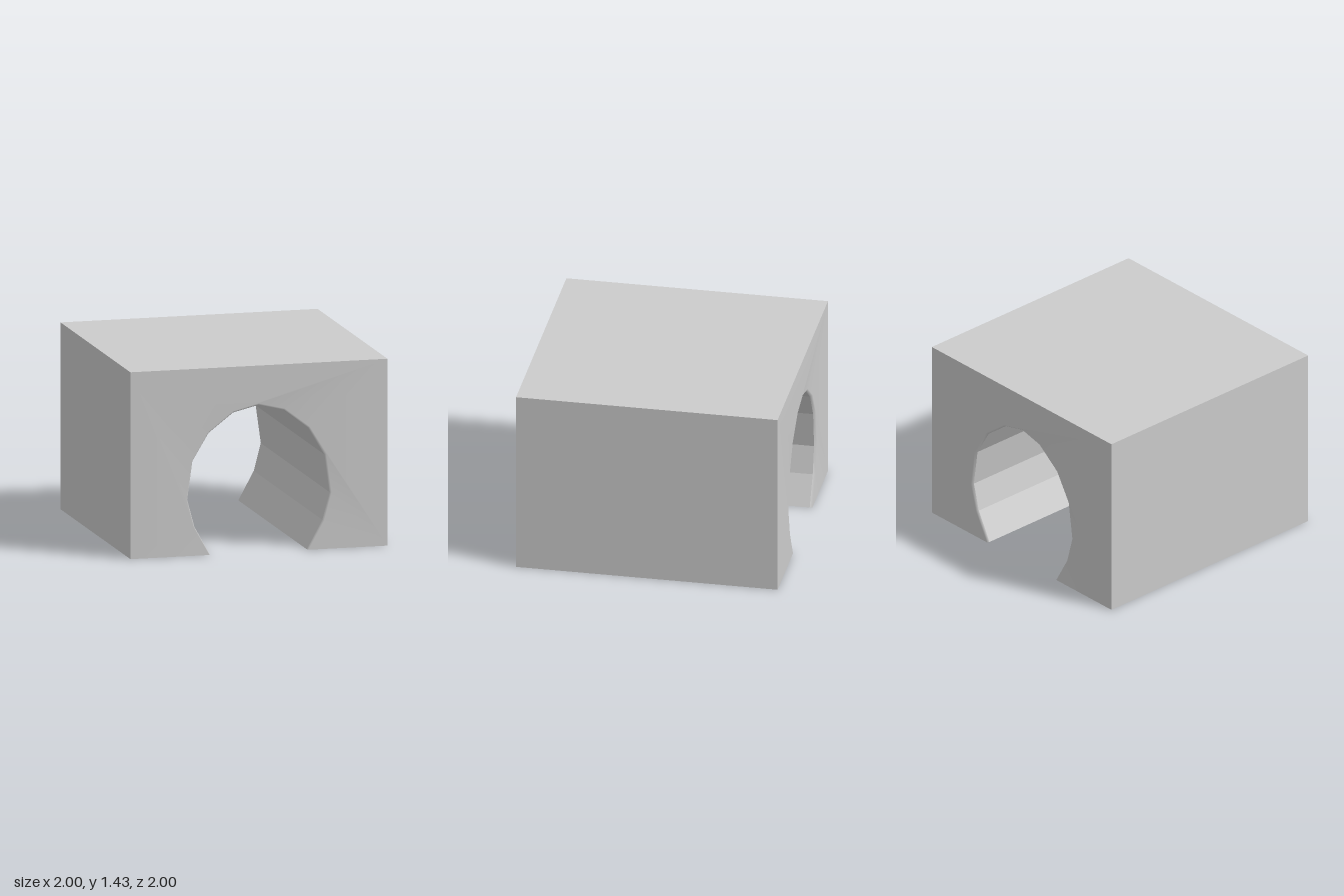
import * as THREE from 'three';
import { mergeGeometries, mergeVertices } from 'three/addons/utils/BufferGeometryUtils.js';

const HEIGHT = 1.43, HALF = 1, CHAMFER = 0.02;

// Strip joining a profile at z0 to a profile at z1 (z1 < z0), one flat facet per segment
function strip(from, z0, to, z1) {
  const pos = [];
  for (let i = 0; i < from.length - 1; i++) {
    const a = [...from[i], z0], b = [...from[i + 1], z0];
    const c = [...to[i + 1], z1], d = [...to[i], z1];
    pos.push(...a, ...b, ...c, ...a, ...c, ...d);
  }
  const g = new THREE.BufferGeometry();
  g.setAttribute('position', new THREE.Float32BufferAttribute(pos, 3));
  g.computeVertexNormals();
  return g;
}

const flatShape = (pts) => new THREE.ShapeGeometry(new THREE.Shape(pts.map(([x, y]) => new THREE.Vector2(x, y))));

export function createModel() {
  const group = new THREE.Group();
  const material = new THREE.MeshStandardMaterial({ color: 0xcccccc });
  const add = (name, geometry, turned = false) => {
    const mesh = new THREE.Mesh(geometry, material);
    mesh.name = name;
    if (turned) mesh.rotation.y = Math.PI;
    group.add(mesh);
  };

  // Faceted horseshoe arch, mirrored from its right half
  const half = [[0.378, 0], [0.498, 0.22], [0.553, 0.43], [0.513, 0.72], [0.388, 0.93], [0.197, 1.077]];
  const arch = [...half, [0, 1.125], ...half.map(([x, y]) => [-x, y]).reverse()];
  // Slightly wider rim where the arch meets the end faces
  const rim = arch.map(([x, y]) => [x * 1.022, y > 0.43 ? 0.43 + (y - 0.43) * 1.022 : y]);

  // Outer walls and roof
  const outline = [[-HALF, 0], [-HALF, HEIGHT], [HALF, HEIGHT], [HALF, 0]];
  add('outerWalls', strip(outline, HALF, outline, -HALF));

  // Tunnel lining
  const inner = HALF - CHAMFER;
  add('tunnel', strip(arch, inner, arch, -inner));

  // End faces, smoothed into the chamfered rim
  const face = flatShape([...outline.slice().reverse(), ...rim.slice().reverse()]).translate(0, 0, HALF).toNonIndexed();
  face.deleteAttribute('uv');
  const merged = mergeGeometries([face, strip(rim, HALF, arch, inner)]);
  merged.deleteAttribute('normal');
  const end = mergeVertices(merged, 1e-4);
  end.computeVertexNormals();
  add('frontFace', end);
  add('backFace', end, true);

  // Undersides of the two legs
  const [rx, ax] = [rim[0][0], arch[0][0]];
  const foot = flatShape([[HALF, -HALF], [HALF, HALF], [rx, HALF], [ax, inner], [ax, -inner], [rx, -HALF]]);
  foot.rotateX(Math.PI / 2);
  add('leftFoot', foot);
  add('rightFoot', foot, true);

  return group;
}
